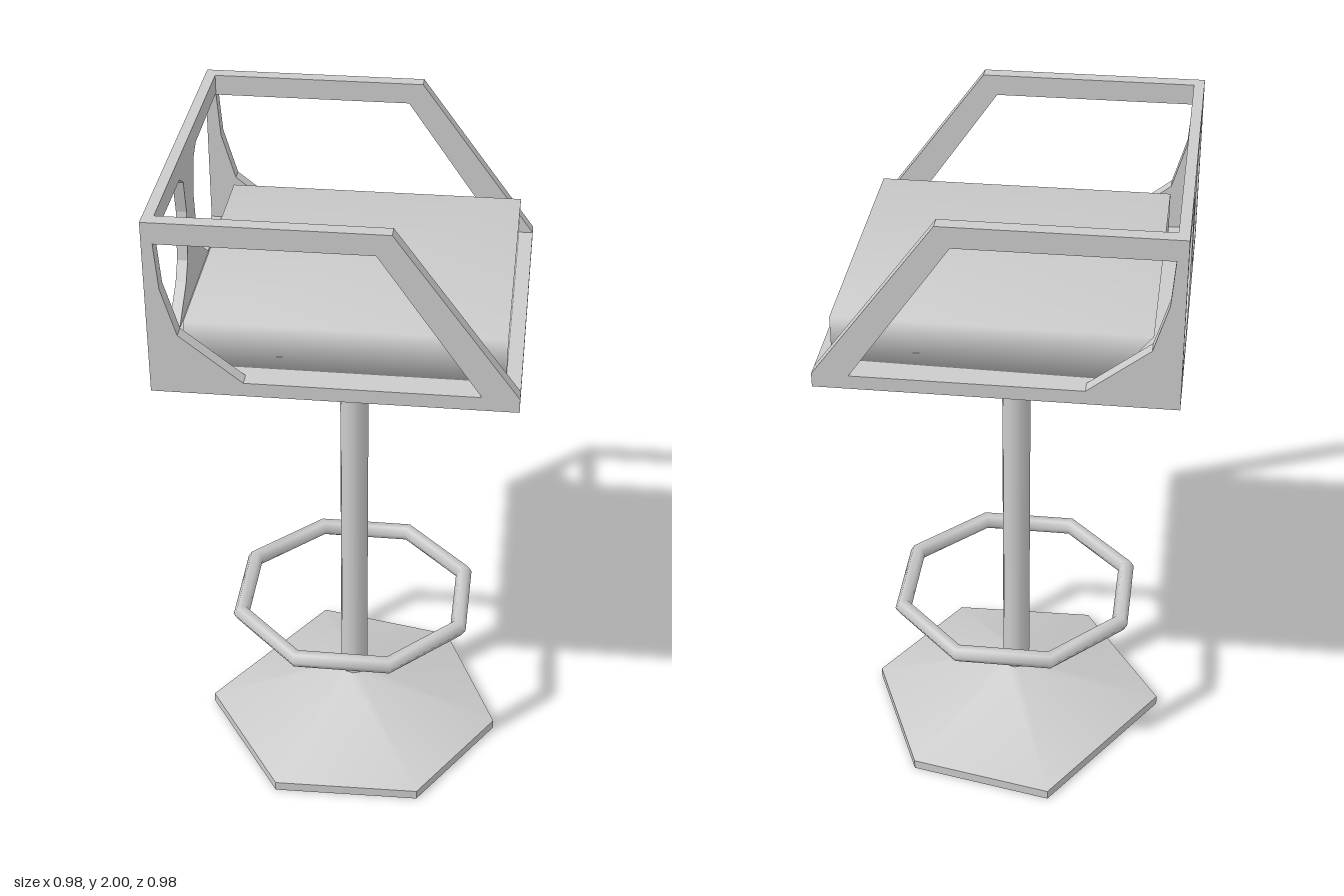
import * as THREE from 'three';
import { mergeVertices, toCreasedNormals } from 'three/addons/utils/BufferGeometryUtils.js';

const grey = new THREE.MeshStandardMaterial({ color: 0xcccccc });
const greyThin = new THREE.MeshStandardMaterial({ color: 0xcccccc, side: THREE.DoubleSide });

// Uneven six-sided plan (x, z) shared by the foot and the seat mount
const PLAN = [[0.46, 0.06], [0.24, 0.41], [-0.2, 0.42], [-0.46, 0.03], [-0.15, -0.445], [0.28, -0.36]];

function shape(points, Type = THREE.Shape) {
  return new Type(points.map(([x, y]) => new THREE.Vector2(x, y)));
}

function extrude(outline, depth) {
  return new THREE.ExtrudeGeometry(outline, { depth, bevelEnabled: false });
}

// Stacks scaled copies of the plan: rings are [scale, y] from bottom to top
function loftPlan(rings) {
  const pos = [], index = [], n = PLAN.length;
  for (const [s, y] of rings) for (const [x, z] of PLAN) pos.push(x * s, y, z * s);
  for (let i = 0; i < rings.length - 1; i++) {
    for (let j = 0; j < n; j++) {
      const a = i * n + j, b = i * n + (j + 1) % n;
      index.push(a, a + n, b + n, a, b + n, b);
    }
  }
  const geo = new THREE.BufferGeometry();
  geo.setAttribute('position', new THREE.Float32BufferAttribute(pos, 3));
  geo.setIndex(index);
  return toCreasedNormals(geo, 0.9);
}

// Soft-shaded cushion with one lower back corner pulled out of square
function cushionGeometry() {
  let geo = new THREE.BoxGeometry(0.86, 0.13, 0.82).translate(0.02, 1.605, 0);
  geo.deleteAttribute('uv');
  geo.deleteAttribute('normal');
  geo = mergeVertices(geo);
  const p = geo.attributes.position;
  for (let i = 0; i < p.count; i++) {
    if (p.getX(i) < 0 && p.getZ(i) < 0 && p.getY(i) < 1.6) {
      p.setX(i, -0.3);
      p.setZ(i, -0.425);
    }
  }
  geo.computeVertexNormals();
  return geo;
}

export function createModel() {
  const model = new THREE.Group();
  model.name = 'barStool';
  const add = (name, geo, mat = grey) => {
    const mesh = new THREE.Mesh(geo, mat);
    mesh.name = name;
    model.add(mesh);
    return mesh;
  };

  // Hollow foot, pole and seat mount
  add('foot', loftPlan([[1, 0], [1, 0.03], [0.09, 0.175]]), greyThin);
  add('pole', new THREE.CylinderGeometry(0.042, 0.042, 1.23, 12).translate(0, 0.775, 0));
  add('seatMount', loftPlan([[0.09, 1.355], [0.165, 1.4], [0.69, 1.48], [0.69, 1.5]]), greyThin);

  // Eight-sided foot ring
  const ring = new THREE.TorusGeometry(0.365, 0.026, 6, 8);
  add('footRing', ring.rotateZ(Math.PI / 8).rotateX(Math.PI / 2).translate(0, 0.472, 0));

  // Seat pan and cushion
  add('seatPan', new THREE.BoxGeometry(0.95, 0.04, 0.9).translate(0.015, 1.52, 0));
  add('cushion', cushionGeometry());

  // Side frames with a sloping front bar
  const side = shape([[-0.49, 1.5], [0.49, 1.5], [0.49, 1.54], [0.15, 2], [-0.49, 2]]);
  side.holes.push(shape([
    [-0.46, 1.94], [-0.45, 1.81], [-0.41, 1.675], [-0.24, 1.54], [0.39, 1.54], [0.11, 1.94],
  ], THREE.Path));
  for (const [name, z] of [['leftSideFrame', 0.45], ['rightSideFrame', -0.49]]) {
    add(name, extrude(side, 0.04).translate(0, 0, z));
  }

  // Back frame: top and bottom bars joined by a waisted splat
  const half = [
    [0.45, 1.5], [0.45, 1.54], [0.22, 1.545], [0.11, 1.62], [0.075, 1.67],
    [0.053, 1.81], [0.075, 1.91], [0.12, 1.94], [0.45, 1.945], [0.45, 2],
  ];
  const mirrored = half.map(([z, y]) => [-z, y]).reverse();
  const back = extrude(shape([...half, ...mirrored]), 0.03);
  add('backFrame', back.rotateY(-Math.PI / 2).translate(-0.46, 0, 0));

  return model;
}
